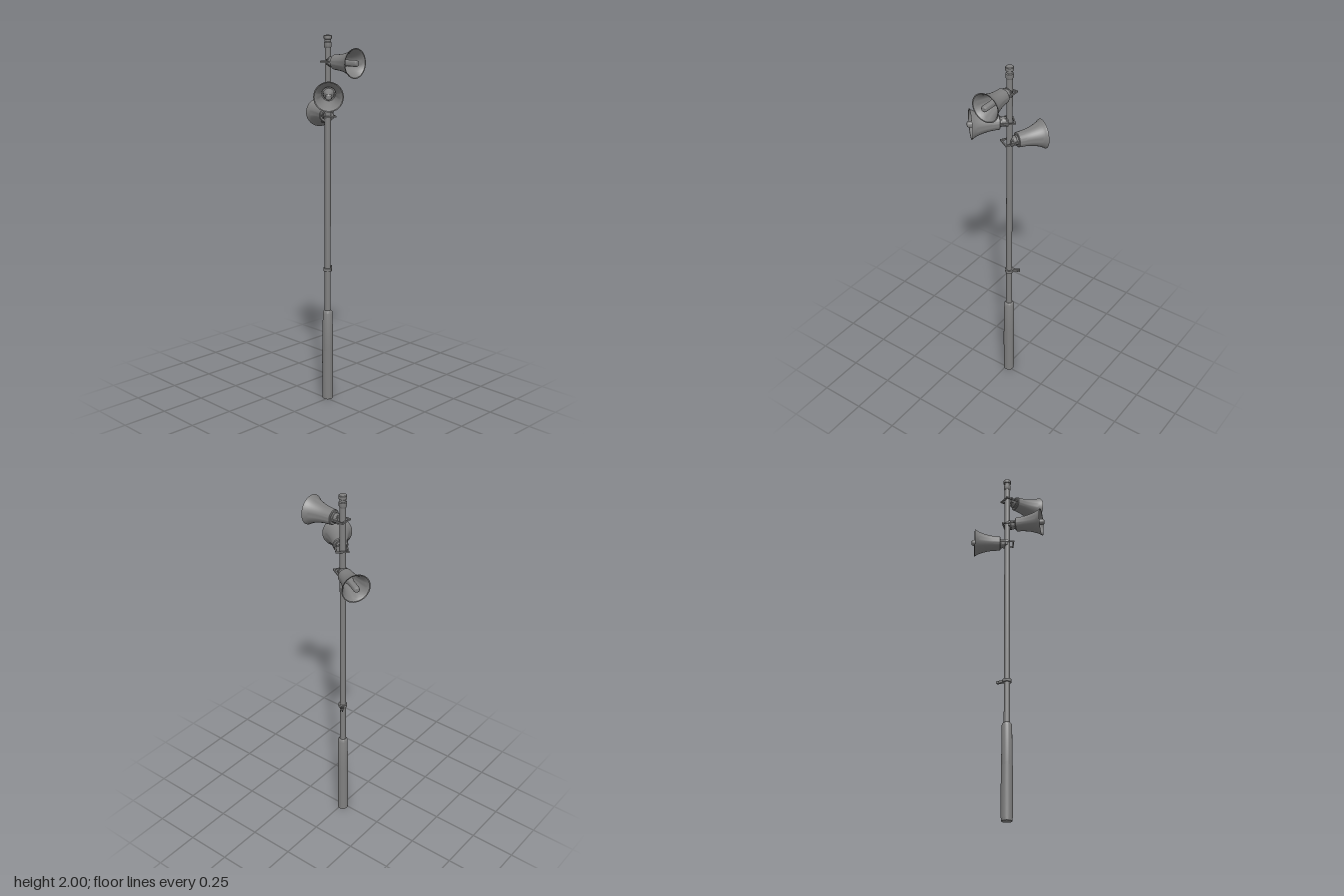
import * as THREE from 'three';
import { toCreasedNormals } from 'three/addons/utils/BufferGeometryUtils.js';

const material = new THREE.MeshStandardMaterial({ color: 0x808080, side: THREE.DoubleSide });

function addMesh(parent, name, geometry, x = 0, y = 0, z = 0) {
  const mesh = new THREE.Mesh(geometry, material);
  mesh.name = name;
  mesh.position.set(x, y, z);
  parent.add(mesh);
}

// Turned part from [radius, height] pairs, with crisp edges
function turned(profile, segments = 32) {
  const points = profile.map(([r, h]) => new THREE.Vector2(r, h));
  return toCreasedNormals(new THREE.LatheGeometry(points, segments), 0.6);
}

// Flat rectangular frame lying in the xz plane
function clampFrame(width, z0, z1, bar, height) {
  const w = width / 2;
  const rect = (P, i) => {
    const p = new P();
    p.moveTo(-w + i, -z0 - i);
    p.lineTo(w - i, -z0 - i);
    p.lineTo(w - i, -z1 + i);
    p.lineTo(-w + i, -z1 + i);
    p.closePath();
    return p;
  };
  const shape = rect(THREE.Shape, 0);
  shape.holes.push(rect(THREE.Path, bar));
  return new THREE.ExtrudeGeometry(shape, { depth: height, bevelEnabled: false })
    .translate(0, 0, -height / 2).rotateX(-Math.PI / 2);
}

// Horn loudspeaker pointing along +z, with the pole axis at the origin
function createHorn() {
  const horn = new THREE.Group();
  horn.name = 'hornSpeaker';
  const flare = new THREE.CatmullRomCurve3([
    [0.039, 0.056], [0.041, 0.085], [0.045, 0.115], [0.054, 0.15], [0.066, 0.18], [0.076, 0.195],
  ].map(([r, h]) => new THREE.Vector3(r, h, 0))).getPoints(14).map((p) => [p.x, p.y]);
  const inside = flare.map(([r, h]) => [r - 0.004, h + 0.002]).reverse();
  const bell = [[0, 0.053], [0.035, 0.053], ...flare, [0.077, 0.198], ...inside, [0, 0.058]];
  addMesh(horn, 'bell', turned(bell, 40).rotateX(Math.PI / 2));
  // Central driver inside the bell with a rounded tip
  addMesh(horn, 'driver', turned([
    [0.03, 0.058], [0.027, 0.09], [0.018, 0.125], [0.0165, 0.14], [0.0165, 0.204],
    [0.015, 0.21], [0.011, 0.214], [0.006, 0.2155], [0, 0.216],
  ], 24).rotateX(Math.PI / 2));
  // Neck between the pole and the bell
  addMesh(horn, 'neck', turned([
    [0, 0.02], [0.026, 0.02], [0.026, 0.026], [0.025, 0.027],
    [0.025, 0.044], [0.027, 0.045], [0.027, 0.056], [0, 0.056],
  ]).rotateX(Math.PI / 2));
  // Clamp around the pole
  addMesh(horn, 'clampFrame', clampFrame(0.068, -0.023, 0.054, 0.007, 0.008));
  addMesh(horn, 'clampBlock', new THREE.BoxGeometry(0.054, 0.03, 0.01), 0, 0, 0.018);
  return horn;
}

export function createModel() {
  const model = new THREE.Group();
  model.name = 'loudspeakerPole';
  const assembly = new THREE.Group();
  assembly.name = 'poleAssembly';
  assembly.position.set(0.0135, 0, -0.01);
  model.add(assembly);

  // Thick base section with a chamfered shoulder
  addMesh(assembly, 'base', turned([
    [0, 0], [0.029, 0], [0.029, 0.3], [0.027, 0.5], [0.025, 0.508], [0.017, 0.516], [0, 0.516],
  ]));
  // Curved service cover on the base
  addMesh(assembly, 'serviceCover',
    new THREE.CylinderGeometry(0.0305, 0.0305, 0.27, 24, 1, true, Math.PI * 0.75, Math.PI), 0, 0.15, 0);

  // Slim shaft
  addMesh(assembly, 'shaft', new THREE.CylinderGeometry(0.0155, 0.0165, 1.44, 32), 0, 1.23, 0);

  // Stepped pole cap
  addMesh(assembly, 'cap', turned([
    [0, 1.935], [0.016, 1.935], [0.02, 1.942], [0.02, 1.963], [0.016, 1.967],
    [0.016, 1.978], [0.021, 1.981], [0.021, 1.997], [0.018, 2], [0, 2],
  ]));

  // Band clamp with two projecting ears
  const band = new THREE.Group();
  band.name = 'bandClamp';
  band.position.y = 0.748;
  band.rotation.y = Math.PI / 6;
  assembly.add(band);
  addMesh(band, 'band', turned([
    [0.016, -0.008], [0.024, -0.008], [0.024, 0.008], [0.016, 0.008],
  ]));
  for (const side of [-1, 1]) {
    addMesh(band, 'ear', new THREE.BoxGeometry(0.042, 0.013, 0.005), 0.039, 0, side * 0.005);
  }
  addMesh(band, 'bolt', new THREE.CylinderGeometry(0.003, 0.003, 0.02, 10).rotateX(Math.PI / 2), 0.047, 0, 0);

  // Three horns: height, heading in degrees, offset from the pole in x and z
  const horns = [
    [1.865, 0, 0, 0],
    [1.703, -45, 0.005, 0.002],
    [1.582, 150, -0.004, 0.015],
  ];
  for (const [y, heading, x, z] of horns) {
    const horn = createHorn();
    horn.rotation.y = THREE.MathUtils.degToRad(heading);
    horn.position.set(x, y, z);
    assembly.add(horn);
  }
  return model;
}
